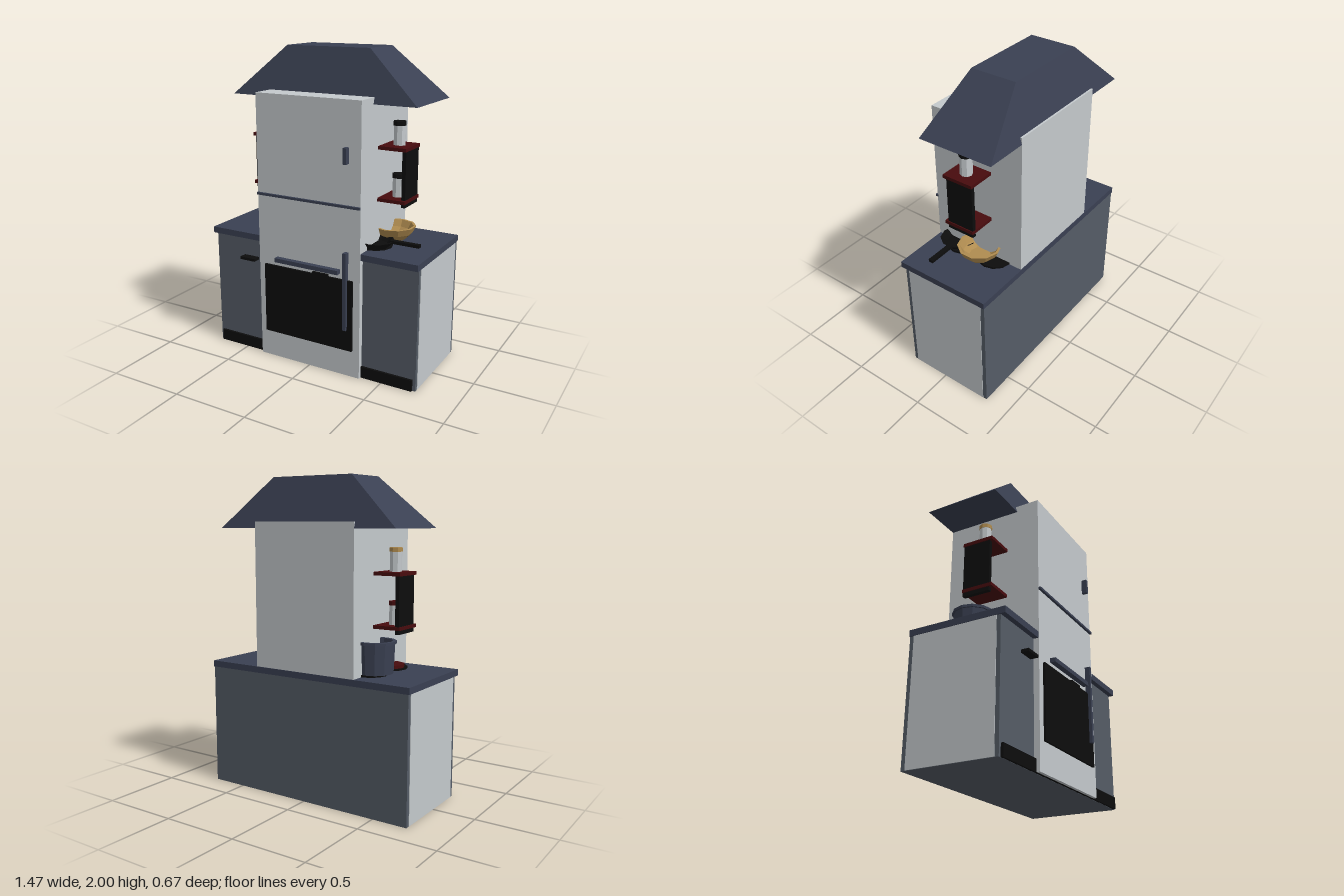
import * as THREE from 'three';

const mat = (name, color, extra = {}) => {
  const m = new THREE.MeshStandardMaterial({ color, flatShading: true, ...extra });
  m.name = name;
  return m;
};

export function createModel() {
  const pale = mat('pale grey', 0xc4c9cc);
  const slate = mat('slate', 0x555c66);
  const navy = mat('navy', 0x3a4052, { side: THREE.DoubleSide });
  const black = mat('black', 0x0d0d0d, { side: THREE.DoubleSide });
  const red = mat('dark red', 0x480c0e);
  const wood = mat('wood', 0xb08c50, { side: THREE.DoubleSide });

  const model = new THREE.Group();
  model.name = 'kitchenUnit';

  const add = (name, geometry, material) => {
    const mesh = new THREE.Mesh(geometry, material);
    mesh.name = name;
    model.add(mesh);
    return mesh;
  };
  // box given by its limits on each axis
  const box = (name, material, x0, x1, y0, y1, z0, z1) => {
    const mesh = add(name, new THREE.BoxGeometry(x1 - x0, y1 - y0, z1 - z0), material);
    mesh.position.set((x0 + x1) / 2, (y0 + y1) / 2, (z0 + z1) / 2);
    return mesh;
  };
  const disc = (name, material, r, x, y0, y1, z, sides = 8) => {
    const mesh = add(name, new THREE.CylinderGeometry(r, r, y1 - y0, sides), material);
    mesh.position.set(x, (y0 + y1) / 2, z);
    return mesh;
  };
  // open vessel turned from a few profile points
  const vessel = (name, material, points, sides, x, y, z) => {
    const profile = points.map(([r, h]) => new THREE.Vector2(r, h));
    add(name, new THREE.LatheGeometry(profile, sides), material).position.set(x, y, z);
  };

  // base cabinet with pale end panels and a toe kick
  box('cabinet', slate, -0.728, 0.725, 0, 0.78, -0.337, 0.265);
  box('rightEndPanel', pale, -0.731, -0.726, 0.002, 0.78, -0.31, 0.24);
  box('leftEndPanel', pale, 0.723, 0.728, 0.002, 0.78, -0.31, 0.24);
  box('toeKick', black, -0.71, 0.706, 0.001, 0.075, 0.2, 0.28);
  box('countertop', navy, -0.735, 0.731, 0.78, 0.82, -0.339, 0.297);

  // tall central column with seam, oven window and handles
  box('column', pale, -0.364, 0.361, 0.002, 1.73, -0.335, 0.301);
  box('seam', navy, -0.364, 0.361, 1.095, 1.11, 0.295, 0.316);
  box('ovenWindow', black, -0.318, 0.315, 0.18, 0.642, 0.295, 0.315);
  box('ovenHandle', navy, -0.228, 0.225, 0.675, 0.702, 0.3, 0.336);
  box('upperDoorHandle', navy, 0.259, 0.282, 1.36, 1.457, 0.3, 0.336);
  box('lowerDoorHandle', navy, 0.259, 0.282, 0.32, 0.82, 0.3, 0.334);
  for (const x of [-0.51, 0.035])
    box('drawerPull', black, x, x + 0.11, 0.638, 0.656, 0.26, 0.315);

  // hood: box whose top is drawn in
  const hood = new THREE.BoxGeometry(1.27, 0.31, 0.49);
  const p = hood.attributes.position;
  for (let i = 0; i < p.count; i++) {
    if (p.getY(i) > 0) {
      p.setX(i, Math.sign(p.getX(i)) * 0.286);
      p.setZ(i, Math.sign(p.getZ(i)) * 0.149);
    }
  }
  hood.computeVertexNormals();
  add('hood', hood, navy).position.set(0, 1.845, -0.09);

  // side shelves with jars
  for (const [side, upperLid, lowerLid] of [[-1, wood, red], [1, black, black]]) {
    const o = -0.002;
    const span = (name, m, a, b, y0, y1, z0, z1) =>
      box(name, m, Math.min(a * side, b * side) + o, Math.max(a * side, b * side) + o, y0, y1, z0, z1);
    span('upperShelf', red, 0.35, 0.543, 1.414, 1.435, -0.12, 0.085);
    span('lowerShelf', red, 0.35, 0.543, 1.095, 1.116, -0.12, 0.085);
    span('shelfSupport', black, 0.512, 0.537, 1.07, 1.42, -0.117, 0.065);
    for (const [y, lid] of [[1.435, upperLid], [1.116, lowerLid]]) {
      const x = side * 0.456 - 0.003;
      disc('jar', pale, 0.038, x, y, y + 0.118, -0.017);
      disc('jarLid', lid, 0.041, x, y + 0.118, y + 0.143, -0.017);
    }
    // hob burners
    for (const z of [-0.14, 0.1]) disc('burner', black, 0.11, side * 0.36, 0.82, 0.833, z, 12);
  }

  // cookware
  disc('redTrivet', red, 0.09, -0.375, 0.833, 0.853, 0.08);
  vessel('pot', navy, [[0, 0], [0.112, 0], [0.12, 0.18], [0.13, 0.18], [0.13, 0.197], [0.108, 0.197], [0.1, 0.02], [0, 0.02]],
    12, -0.39, 0.833, -0.135);
  vessel('bowl', wood, [[0, 0], [0.075, 0], [0.115, 0.04], [0.138, 0.085], [0.122, 0.085], [0.1, 0.045], [0.065, 0.015], [0, 0.015]],
    10, 0.41, 0.83, -0.062);
  vessel('pan', black, [[0, 0], [0.08, 0], [0.115, 0.04], [0.105, 0.04], [0.075, 0.01], [0, 0.01]],
    10, 0.38, 0.829, 0.13);
  box('panHandle', black, 0.47, 0.662, 0.858, 0.877, 0.1, 0.13);

  return model;
}
